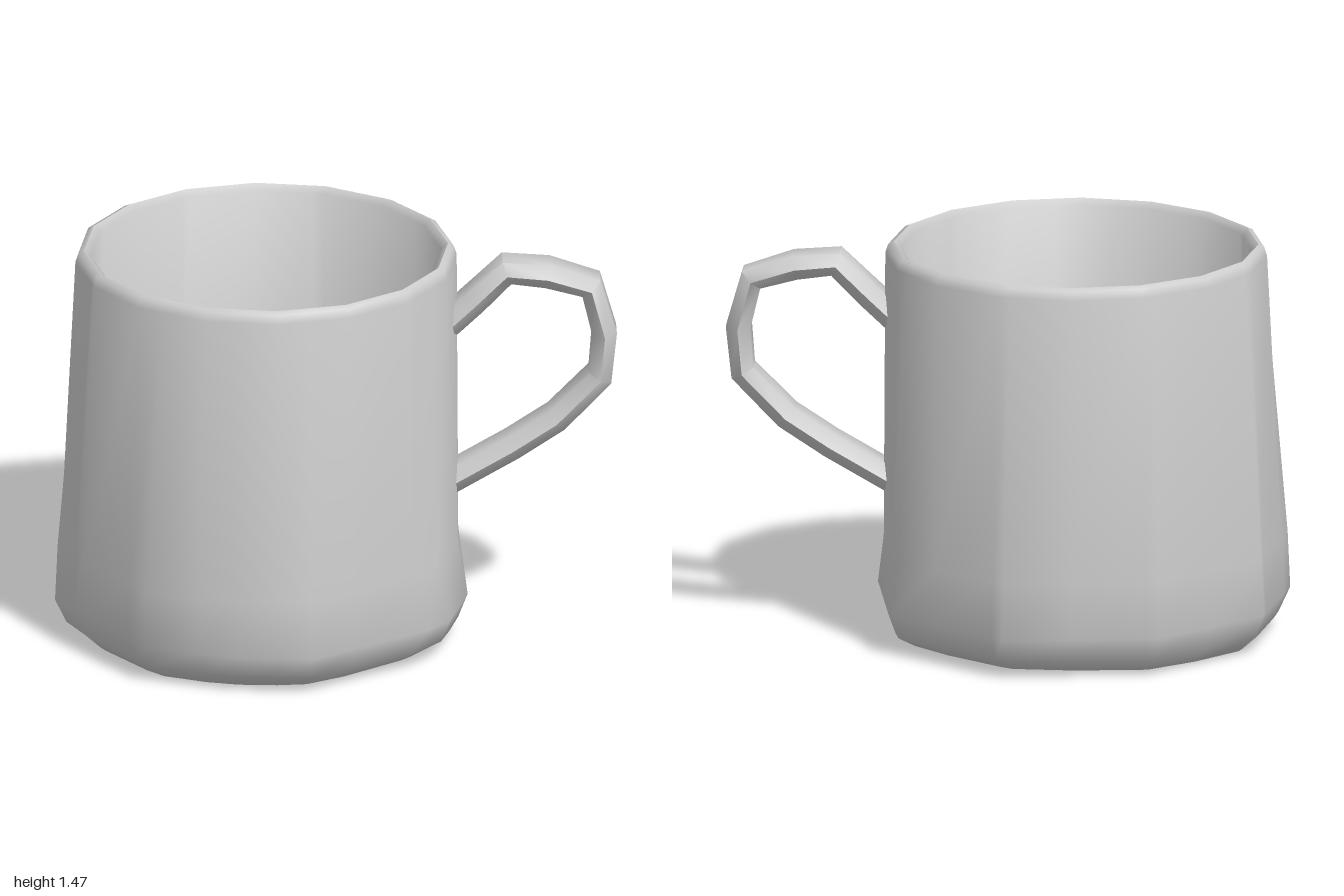
import * as THREE from 'three';
import { toCreasedNormals } from 'three/addons/utils/BufferGeometryUtils.js';

const material = new THREE.MeshStandardMaterial({ color: 0xcccccc, side: THREE.DoubleSide });
const CENTRE_X = -0.23;

// Skin a list of closed rings (arrays of Vector3 of equal length)
function loft(rings, crease) {
  const n = rings[0].length, index = [];
  for (let i = 0; i < rings.length - 1; i++) {
    for (let j = 0; j < n; j++) {
      const a = i * n + j, b = i * n + (j + 1) % n;
      index.push(a, a + n, b, b, a + n, b + n);
    }
  }
  const geometry = new THREE.BufferGeometry().setFromPoints(rings.flat());
  geometry.setIndex(index);
  return toCreasedNormals(geometry, crease);
}

const angleOf = ([x, z]) => (Math.atan2(z, x) + Math.PI * 2) % (Math.PI * 2);

// Distance from the origin to a convex outline in a given direction
function outlineRadius(outline, angle) {
  const dx = Math.cos(angle), dz = Math.sin(angle);
  let best = Infinity;
  outline.forEach(([x, z], i) => {
    const [x2, z2] = outline[(i + 1) % outline.length];
    const ex = x2 - x, ez = z2 - z, d = dx * ez - dz * ex;
    if (Math.abs(d) < 1e-9) return;
    const r = (x * ez - z * ex) / d, s = (x * dz - z * dx) / d;
    if (r > 0 && s > -1e-6 && s < 1 + 1e-6) best = Math.min(best, r);
  });
  return best;
}

function createCup() {
  // Uneven foot outline and regular rim outline, both about the cup's axis
  const foot = [
    [0.76, 0.13], [0.72, 0.25], [0.42, 0.68], [0.14, 0.76], [-0.2, 0.76], [-0.57, 0.5],
    [-0.68, 0.4], [-0.77, -0.03], [-0.56, -0.5], [-0.05, -0.77], [0.48, -0.6], [0.73, -0.15],
  ];
  const rim = Array.from({ length: 16 }, (_, i) => {
    const a = (i / 16) * Math.PI * 2;
    return [0.7 * Math.cos(a), 0.7 * Math.sin(a)];
  });
  const angles = [...foot, ...rim].map(angleOf).sort((a, b) => a - b);

  // Slightly tilted underside
  const tilt = (a) => 0.012 - 0.012 * Math.cos(a - 2.36);
  const waist = (a) => 0.17 + 0.5 * Math.max(0, Math.cos(a)) - 0.15 * Math.max(0, Math.sin(a));

  // Each ring: height, blend from foot (0) to rim (1), scale
  const profile = [
    [0.012, 0.4, 0],
    [tilt, 0.4, 0.9],
    [0.06, 0.15, 0.965],
    [0.15, 0, 1],
    [0.36, waist, 1],
    [1.43, 1, 1],
    [1.462, 1, 0.985],
    [1.472, 1, 0.955],
    [1.45, 1, 0.92],
    [0.1, 1, 0.93],
    [0.1, 1, 0],
  ];
  const at = (v, a) => (typeof v === 'function' ? v(a) : v);
  const rings = profile.map(([y, blend, scale]) => angles.map((a) => {
    const r = scale * THREE.MathUtils.lerp(outlineRadius(foot, a), outlineRadius(rim, a), at(blend, a));
    return new THREE.Vector3(CENTRE_X + r * Math.cos(a), at(y, a), r * Math.sin(a));
  }));
  const cup = new THREE.Mesh(loft(rings, 1.0), material);
  cup.name = 'cup';
  return cup;
}

function createHandle() {
  // Centre line in x and y; the handle's plane swings towards the back
  const path = [
    [0.4, 1.18], [0.49, 1.27], [0.6, 1.385], [0.74, 1.37], [0.89, 1.32],
    [0.935, 1.14], [0.92, 0.97], [0.77, 0.805], [0.62, 0.7], [0.4, 0.565],
  ].map(([x, y]) => new THREE.Vector3(x, y, -0.24 - 0.38 * (x - 0.45)));
  // Flat six-sided section: across the band, through its thickness
  const section = [[0.095, 0], [0.055, 0.045], [-0.055, 0.045], [-0.095, 0], [-0.055, -0.045], [0.055, -0.045]];
  const across = new THREE.Vector3(0.38, 0, 1).normalize();

  const rings = path.map((p, i) => {
    const before = path[Math.max(i - 1, 0)], after = path[Math.min(i + 1, path.length - 1)];
    const tangent = after.clone().sub(before).normalize();
    const normal = across.clone().cross(tangent);
    return section.map(([u, v]) => p.clone().addScaledVector(across, u).addScaledVector(normal, v));
  });
  const handle = new THREE.Mesh(loft(rings, 0.9), material);
  handle.name = 'handle';
  return handle;
}

export function createModel() {
  const mug = new THREE.Group();
  mug.name = 'mug';
  mug.add(createCup(), createHandle());
  return mug;
}
